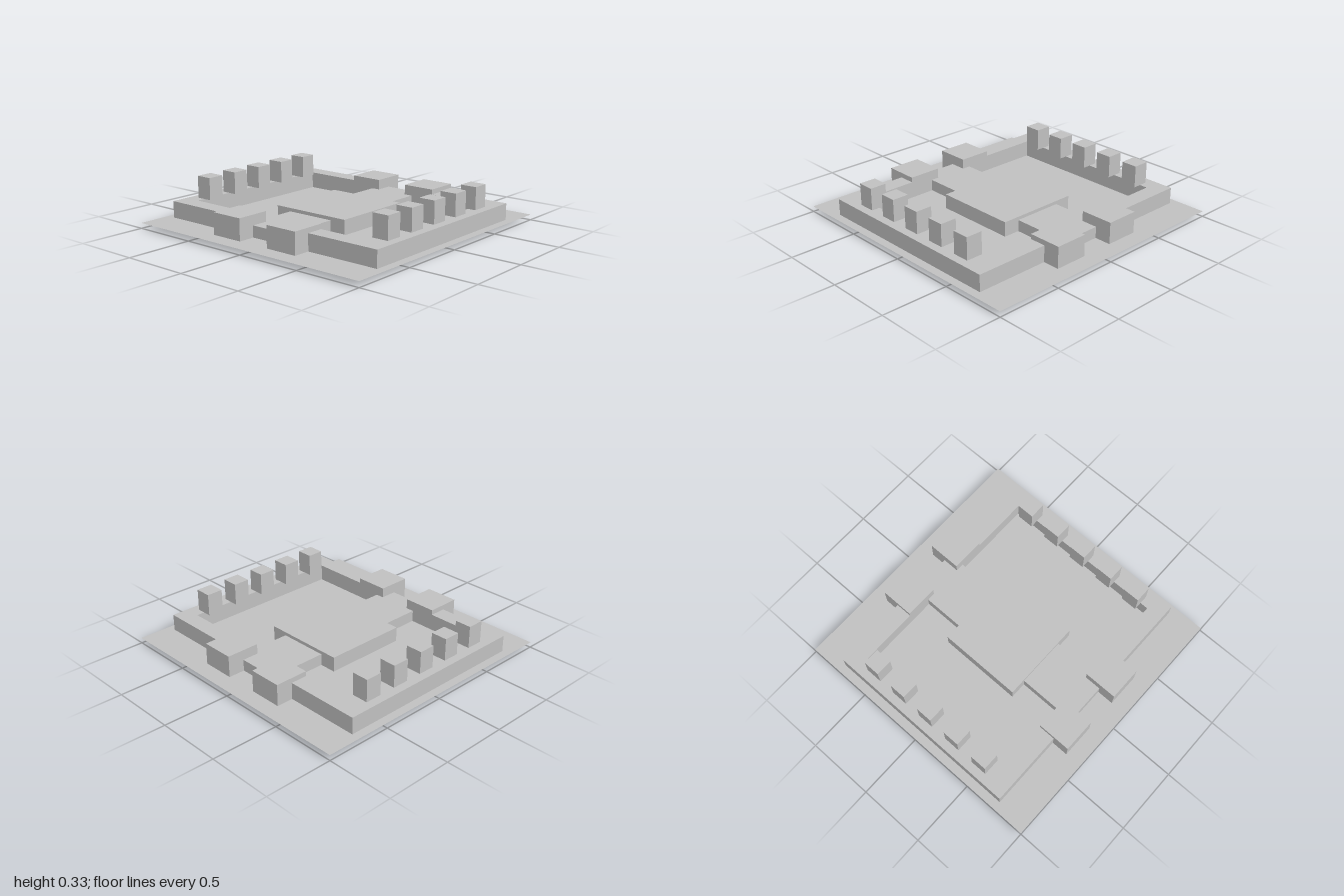
import * as THREE from 'three';

export function createModel() {
  const model = new THREE.Group();
  const stone = new THREE.MeshStandardMaterial({ color: 0xc0c0c0 });
  stone.name = 'stone';
  const sheet = new THREE.MeshStandardMaterial({ color: 0xc0c0c0, side: THREE.DoubleSide });
  sheet.name = 'stone sheet';

  const FLOOR = 0.04, WALL_TOP = 0.163;

  // Box given by its centre in x and z, its footprint and its bottom and top
  const box = (name, x, z, w, d, y0, y1) => {
    const mesh = new THREE.Mesh(new THREE.BoxGeometry(w, y1 - y0, d), stone);
    mesh.position.set(x, (y0 + y1) / 2, z);
    mesh.name = name;
    model.add(mesh);
  };

  // Thin ground sheet
  const ground = new THREE.Mesh(new THREE.PlaneGeometry(2, 2), sheet);
  ground.rotation.x = -Math.PI / 2;
  ground.position.y = FLOOR;
  ground.name = 'ground';
  model.add(ground);

  // Walkway through both gates, with a raised platform in the middle
  box('walkway', 0, 0, 0.375, 1.5, 0, 0.125);
  box('platform', 0, 0, 0.625, 0.625, FLOOR, 0.15);

  for (const side of [-1, 1]) {
    // C-shaped perimeter wall, ending inside the gate posts
    const outline = [[0.25, -0.75], [0.9375, -0.75], [0.9375, 0.75], [0.25, 0.75],
      [0.25, 0.625], [0.8125, 0.625], [0.8125, -0.625], [0.25, -0.625]];
    const shape = new THREE.Shape(outline.map(([x, z]) => new THREE.Vector2(side * x, z)));
    const geometry = new THREE.ExtrudeGeometry(shape, { depth: WALL_TOP - FLOOR, bevelEnabled: false });
    geometry.rotateX(-Math.PI / 2);
    const wall = new THREE.Mesh(geometry, stone);
    wall.position.y = FLOOR;
    wall.name = side > 0 ? 'leftWall' : 'rightWall';
    model.add(wall);

    // Gate posts
    for (const end of [-1, 1]) box('gatePost', side * 0.25, end * 0.75, 0.25, 0.25, 0, 0.2);

    // Battlements, overhanging the inner edge of the wall
    for (let i = -2; i <= 2; i++) box('battlement', side * 0.8125, i * 0.25, 0.125, 0.125, WALL_TOP, 0.328);
  }
  return model;
}
